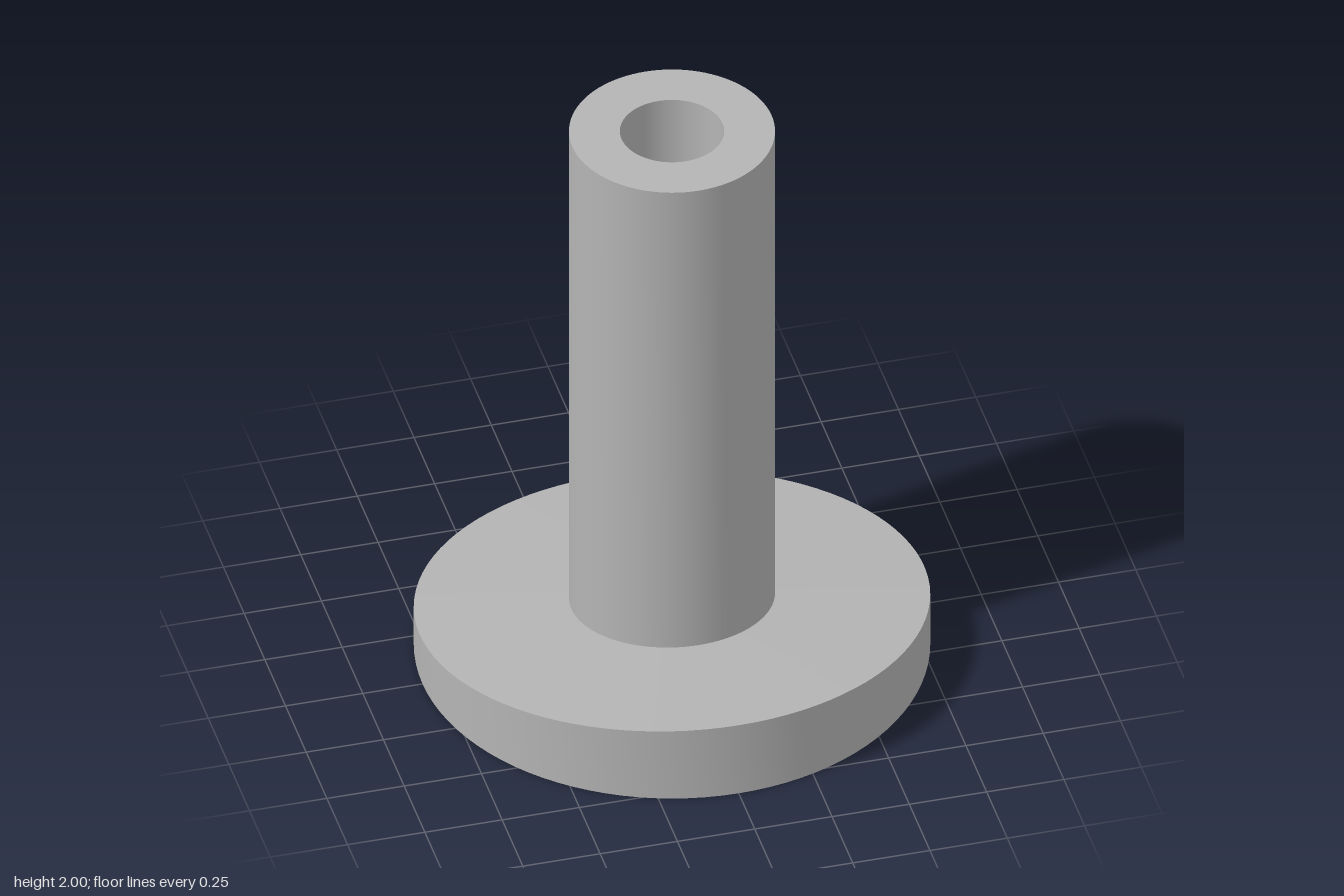
import * as THREE from 'three';
import { toCreasedNormals } from 'three/addons/utils/BufferGeometryUtils.js';

const FLANGE_R = 0.807, TUBE_R = 0.322, BORE_R = 0.163;
const RIM_Y = 0.17, NECK_Y = 0.19, HEIGHT = 2;
const SLOPE = 0.118; // rise of the flange's upper face towards the front

// Revolve a profile, then tilt the ring of points that lies on the flange's upper face
function tiltedLathe(profile) {
  const geo = new THREE.LatheGeometry(profile.map(([r, y]) => new THREE.Vector2(r, y)), 96);
  const p = geo.attributes.position;
  for (let i = 0; i < p.count; i++) {
    const y = p.getY(i);
    if (y > 0.01 && y < 0.5) p.setY(i, y + SLOPE * p.getZ(i));
  }
  return toCreasedNormals(geo, Math.PI / 6);
}

export function createModel() {
  const model = new THREE.Group();
  model.name = 'flangedBushing';
  const grey = new THREE.MeshStandardMaterial({ color: 0xb4b4b4 });
  grey.name = 'plain grey';

  const add = (name, profile) => {
    const mesh = new THREE.Mesh(tiltedLathe(profile), grey);
    mesh.name = name;
    model.add(mesh);
  };

  // Wedge-shaped round flange: flat underside, rim and sloping upper face
  add('flange', [[BORE_R, 0], [FLANGE_R, 0], [FLANGE_R, RIM_Y], [TUBE_R, NECK_Y]]);

  // Tube: outer wall, top ring and through bore
  add('tube', [[TUBE_R, NECK_Y], [TUBE_R, HEIGHT], [BORE_R, HEIGHT], [BORE_R, 0]]);

  return model;
}
